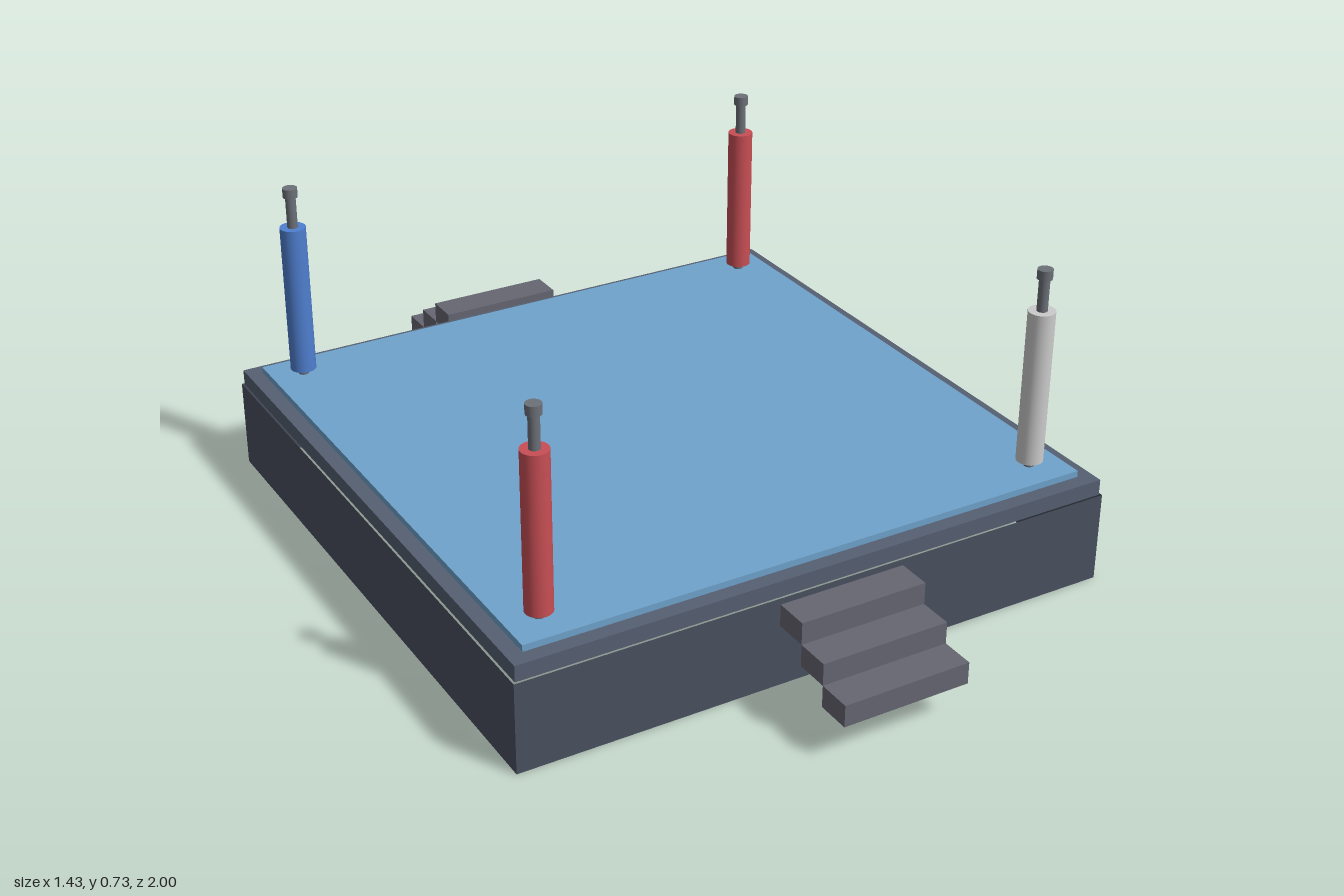
import * as THREE from 'three';

const mat = (color, extra = {}) => new THREE.MeshStandardMaterial({ color, ...extra });

function add(parent, name, geometry, material, x = 0, y = 0, z = 0) {
  const mesh = new THREE.Mesh(geometry, material);
  mesh.name = name;
  mesh.position.set(x, y, z);
  parent.add(mesh);
  return mesh;
}

// Box and cylinder given by their bottom and top heights
const slab = (p, name, m, w, d, y0, y1, z = 0) =>
  add(p, name, new THREE.BoxGeometry(w, y1 - y0, d), m, 0, (y0 + y1) / 2, z);
const rod = (p, name, m, r, y0, y1) =>
  add(p, name, new THREE.CylinderGeometry(r, r, y1 - y0, 24), m, 0, (y0 + y1) / 2, 0);

export function createModel() {
  const model = new THREE.Group();
  const metal = mat(0x6c7078);
  const stepMaterial = mat(0x666672);

  // Platform and floor mat
  slab(model, 'platform', mat(0x566072), 1.42, 1.42, 0.21, 0.247);
  slab(model, 'floorMat', mat(0x6fa3cc), 1.35, 1.35, 0.247, 0.262);

  // Thin skirt, open underneath
  const skirt = new THREE.Group();
  skirt.name = 'skirt';
  const cloth = mat(0x4a5060, { side: THREE.DoubleSide });
  for (let i = 0; i < 4; i++) {
    const a = (i * Math.PI) / 2;
    const panel = add(skirt, 'skirtPanel', new THREE.PlaneGeometry(1.43, 0.21), cloth,
      0.715 * Math.sin(a), 0.105, 0.715 * Math.cos(a));
    panel.rotation.y = a;
  }
  model.add(skirt);

  // Corner posts: pole, coloured pad, cap
  const corners = [
    [-0.6, 0.6, 0xc84f55], [0.6, 0.6, 0xe4e4e4],
    [0.6, -0.6, 0xc84f55], [-0.6, -0.6, 0x4f7fcf],
  ];
  for (const [x, z, color] of corners) {
    const post = new THREE.Group();
    post.name = 'cornerPost';
    post.position.set(x, 0, z);
    rod(post, 'pole', metal, 0.012, 0.247, 0.71);
    rod(post, 'pad', mat(color), 0.03, 0.276, 0.634);
    rod(post, 'cap', metal, 0.017, 0.708, 0.73);
    model.add(post);
  }

  // Three floating steps at the front and at the back
  for (const side of [1, -1]) {
    const stairs = new THREE.Group();
    stairs.name = side > 0 ? 'frontSteps' : 'backSteps';
    for (let i = 0; i < 3; i++) {
      const y = 0.085 + i * 0.05;
      slab(stairs, 'step', stepMaterial, 0.296, 0.078, y, y + 0.05, side * (0.961 - i * 0.078));
    }
    model.add(stairs);
  }
  return model;
}
